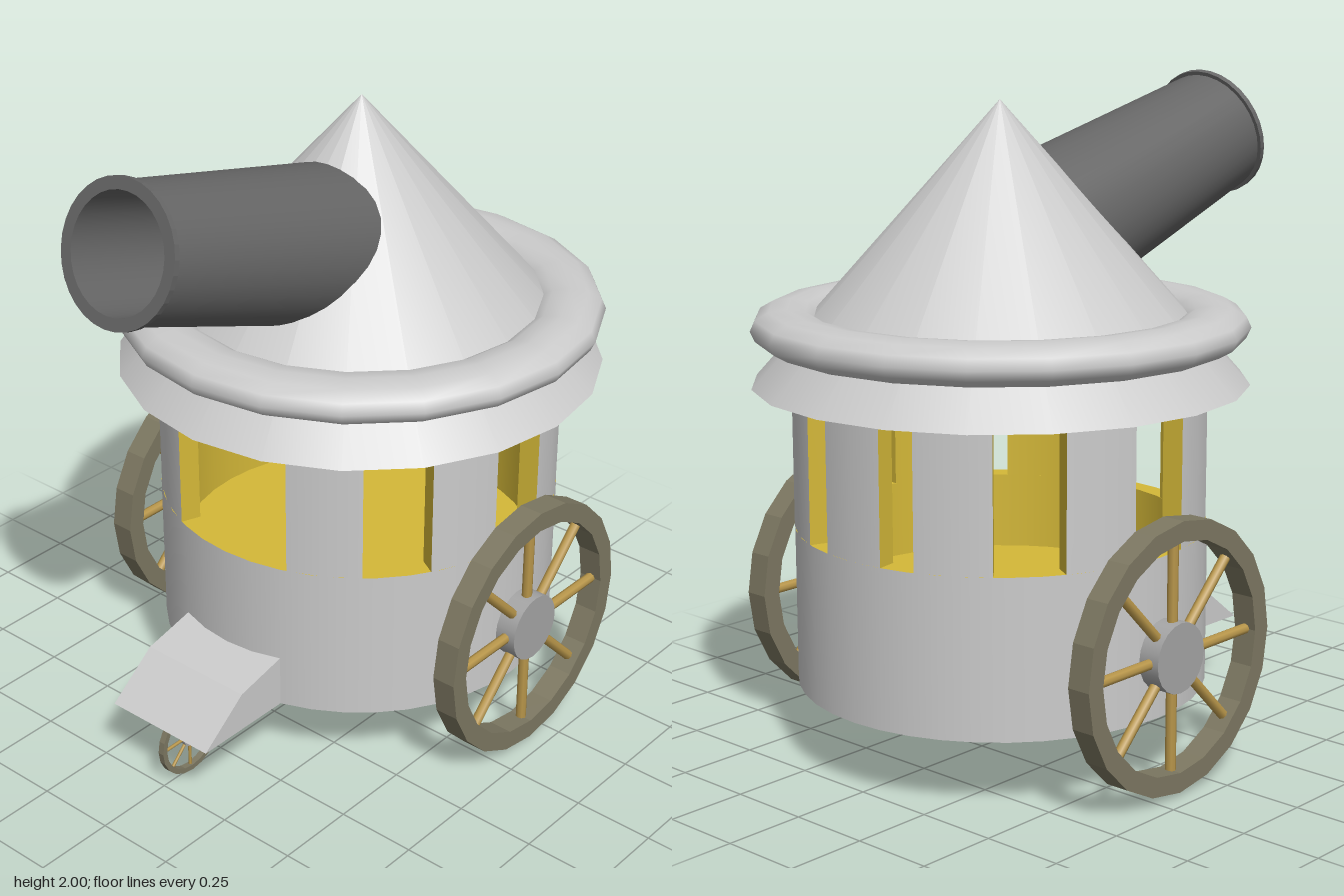
import * as THREE from 'three';

const CX = 0.16; // axis of the round cabin
const R_OUT = 0.62, R_IN = 0.557;
const rad = THREE.MathUtils.degToRad;

const mat = (color, opts = {}) => new THREE.MeshStandardMaterial({ color, ...opts });
const grey = mat(0xcccccc, { side: THREE.DoubleSide });
const yellow = mat(0xd4b838, { side: THREE.DoubleSide });
const iron = mat(0x666666, { side: THREE.DoubleSide });
const rimMat = mat(0x7d7862, { flatShading: true });
const spokeMat = mat(0xb8964a);
const hubMat = mat(0xa5a5a5);

function add(parent, name, geometry, material, x = 0, y = 0, z = 0) {
  const mesh = new THREE.Mesh(geometry, material);
  mesh.name = name;
  mesh.position.set(x, y, z);
  parent.add(mesh);
  return mesh;
}

function group(parent, name, x = 0, y = 0, z = 0) {
  const g = new THREE.Group();
  g.name = name;
  g.position.set(x, y, z);
  parent.add(g);
  return g;
}

// Open upright wall, angles in degrees measured from +z towards +x
function wall(r, y0, y1, a = 0, b = 360) {
  const segs = Math.max(2, Math.round((b - a) / 9));
  return new THREE.CylinderGeometry(r, r, y1 - y0, segs, 1, true, rad(a), rad(b - a))
    .translate(0, (y0 + y1) / 2, 0);
}

// Flat ring facing up
function flatRing(r0, r1, y, a = 0, b = 360) {
  return new THREE.RingGeometry(r0, r1, Math.max(2, Math.round((b - a) / 9)), 1, rad(a - 90), rad(b - a))
    .rotateX(-Math.PI / 2).translate(0, y, 0);
}

const lathe = (pts, segs) => new THREE.LatheGeometry(pts.map(p => new THREE.Vector2(...p)), segs);

// Spoked wheel lying in the xy plane
function wheel(parent, name, pos, o) {
  const g = group(parent, name, ...pos);
  const h = o.width / 2;
  const rim = [[o.inner, -h], [o.outer, -h], [o.outer, h], [o.inner, h], [o.inner, -h]];
  add(g, 'rim', lathe(rim, 20).rotateX(Math.PI / 2), rimMat);
  add(g, 'hub', new THREE.CylinderGeometry(o.hub, o.hub, o.width * 0.9, 20).rotateX(Math.PI / 2), hubMat);
  const len = o.inner + 0.005;
  for (let i = 0; i < 8; i++) {
    const spoke = new THREE.CylinderGeometry(o.spoke, o.spoke, len, 8)
      .translate(0, len / 2, 0).rotateZ(i * Math.PI / 4);
    add(g, 'spoke', spoke, spokeMat);
  }
}

function buildCabin(parent) {
  const g = group(parent, 'cabin', CX);
  add(g, 'lowerWall', wall(R_OUT, 0.22, 0.70), grey);
  add(g, 'innerWall', wall(R_IN, 0.46, 0.70), yellow);
  add(g, 'sill', flatRing(R_IN, R_OUT, 0.70), yellow);
  add(g, 'floor', new THREE.CircleGeometry(R_OUT - 0.003, 40).rotateX(-Math.PI / 2), yellow, 0, 0.46, 0);

  // Pillars between the windows; a wider opening faces -x
  const half = [[49, 70], [9.5, 30], [-30, -9.5], [-70, -49]];
  const spans = [[80, 100], ...half, ...half.map(([a, b]) => [180 - b, 180 - a])];
  for (const [a, b] of spans) {
    const p = group(g, 'pillar');
    add(p, 'pillarOutside', wall(R_OUT, 0.70, 1.15, a, b), grey);
    add(p, 'pillarInside', wall(R_IN, 0.70, 1.15, a, b), yellow);
    add(p, 'pillarTop', flatRing(R_IN, R_OUT, 1.15, a, b), yellow);
    for (const t of [a, b]) {
      const reveal = new THREE.PlaneGeometry(R_OUT - R_IN, 0.45)
        .translate((R_OUT + R_IN) / 2, 0.925, 0).rotateY(rad(t - 90));
      add(p, 'windowReveal', reveal, yellow);
    }
  }
}

function buildRoof(parent) {
  const g = group(parent, 'roof', CX);
  add(g, 'roofCone', new THREE.ConeGeometry(0.74, 0.83, 20, 1, true), grey, 0, 1.545, 0);
  const ring = new THREE.TorusGeometry(0.632, 0.108, 12, 20).rotateX(Math.PI / 2).scale(1, 0.575, 1);
  add(g, 'roofRing', ring, grey, 0, 1.302, 0);
}

// Barrel tilted up towards -x, rounded at the inner end
function buildBarrel(parent) {
  const g = group(parent, 'barrel', -0.018, 1.549, 0);
  g.rotation.z = rad(73);
  const body = [];
  for (let i = 0; i <= 8; i++) {
    const t = (i / 8) * Math.PI / 2;
    body.push([0.24 * Math.sin(t), -0.24 * Math.cos(t)]);
  }
  body.push([0.195, 0.845]);
  add(g, 'barrelBody', lathe(body, 32), iron);
  const lip = [[0.17, 0.842], [0.207, 0.842], [0.207, 0.86], [0.17, 0.86]];
  add(g, 'muzzleLip', lathe(lip, 32), mat(0x666666, { flatShading: true, side: THREE.DoubleSide }));
  add(g, 'bore', lathe([[0.17, 0.86], [0.17, 0.25]], 32), iron);
  add(g, 'boreEnd', new THREE.CircleGeometry(0.17, 32).rotateX(-Math.PI / 2), iron, 0, 0.25, 0);
}

// Hollow housing over the small steering wheel
function buildHousing(parent) {
  const g = group(parent, 'wheelHousing');
  const w = 0.19;
  const top = [[-0.76, 0.22], [-0.60, 0.345], [-0.42, 0.387]];
  const side = new THREE.Shape([...top, [-0.42, 0.22]].map(p => new THREE.Vector2(...p)));
  for (const s of [-1, 1]) add(g, 'housingSide', new THREE.ShapeGeometry(side), grey, 0, 0, s * w);
  for (let i = 0; i < 2; i++) {
    const [x0, y0] = top[i], [x1, y1] = top[i + 1];
    const panel = new THREE.PlaneGeometry(Math.hypot(x1 - x0, y1 - y0), 2 * w)
      .rotateX(-Math.PI / 2).rotateZ(Math.atan2(y1 - y0, x1 - x0));
    add(g, 'housingTop', panel, grey, (x0 + x1) / 2, (y0 + y1) / 2, 0);
  }
}

export function createModel() {
  const model = new THREE.Group();
  model.name = 'cannonWagon';
  buildCabin(model);
  buildRoof(model);
  buildBarrel(model);
  buildHousing(model);
  for (const s of [-1, 1]) {
    wheel(model, s > 0 ? 'leftWheel' : 'rightWheel', [CX, 0.417, s * 0.665],
      { outer: 0.405, inner: 0.345, width: 0.075, hub: 0.105, spoke: 0.016 });
  }
  wheel(model, 'steeringWheel', [-0.635, 0.123, 0],
    { outer: 0.123, inner: 0.106, width: 0.02, hub: 0.031, spoke: 0.005 });
  return model;
}
